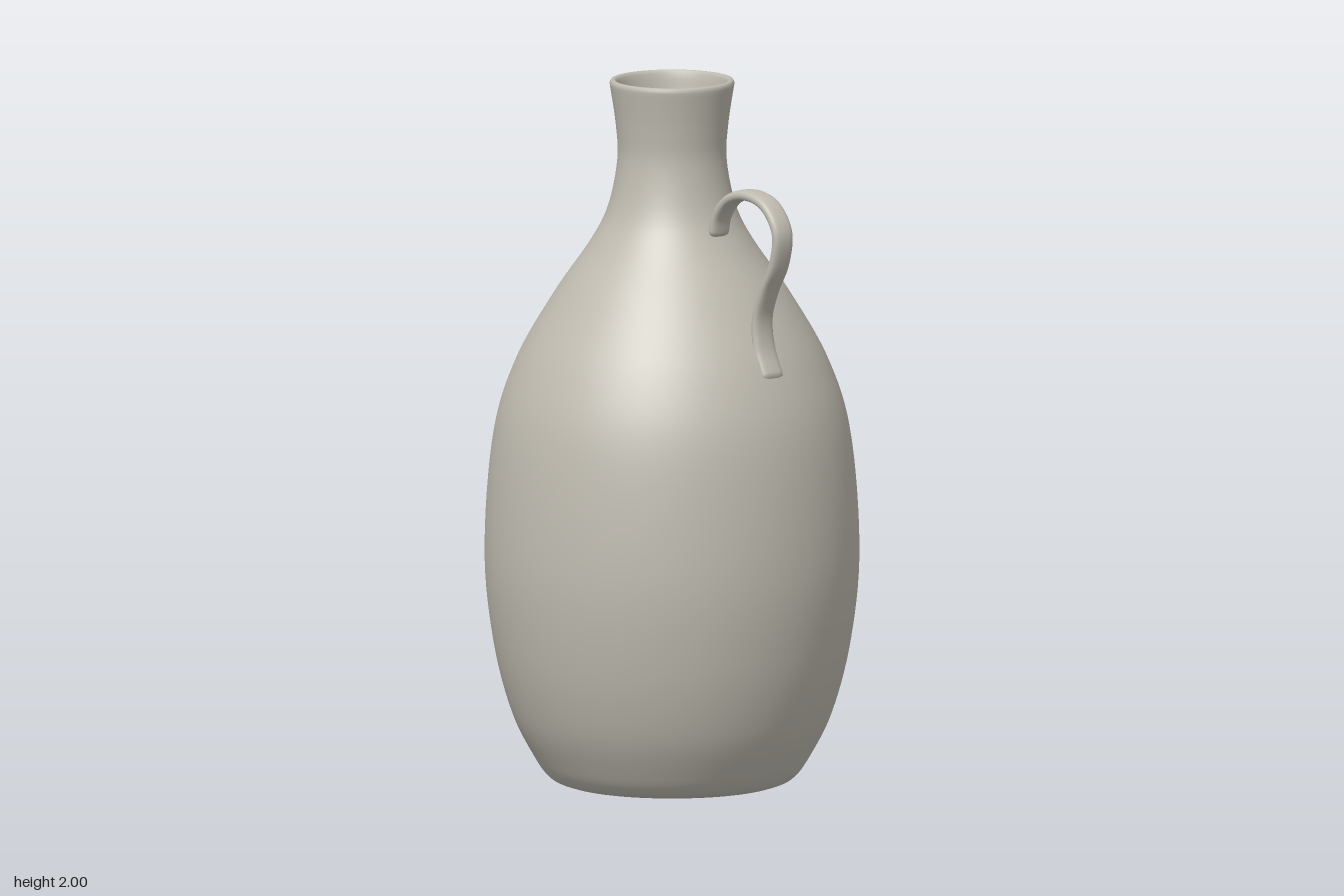
import * as THREE from 'three';

const clay = new THREE.MeshStandardMaterial({ color: 0xbfbbb0 });
clay.name = 'warm grey clay';

const v2 = (p) => new THREE.Vector2(p[0], p[1]);
const smooth = (pts, n) => new THREE.SplineCurve(pts.map(v2)).getPoints(n);

// Hollow bottle turned from one closed profile
function makeBody() {
  const outer = smooth([
    [0.31, 0.002], [0.345, 0.018], [0.385, 0.07], [0.45, 0.2], [0.502, 0.4], [0.527, 0.66],
    [0.503, 0.99], [0.44, 1.2], [0.333, 1.39], [0.23, 1.54], [0.18, 1.64], [0.154, 1.77],
    [0.158, 1.87], [0.175, 1.985]], 90);
  const lip = [[0.175, 1.993], [0.171, 1.999], [0.165, 2], [0.159, 1.998], [0.155, 1.99]].map(v2);
  const inner = smooth([
    [0.152, 1.975], [0.138, 1.87], [0.132, 1.77], [0.158, 1.64], [0.21, 1.53], [0.313, 1.38],
    [0.42, 1.19], [0.482, 0.99], [0.506, 0.66], [0.481, 0.4], [0.43, 0.21], [0.36, 0.08],
    [0.32, 0.05], [0.28, 0.04]], 70);
  // Foot ring with a slightly recessed underside
  const foot = [[0, 0.018], [0.284, 0.018], [0.288, 0.016], [0.292, 0.006], [0.298, 0.001], [0.304, 0]].map(v2);
  const profile = [...foot, ...outer, ...lip, ...inner, new THREE.Vector2(0, 0.04)];
  const mesh = new THREE.Mesh(new THREE.LatheGeometry(profile, 96), clay);
  mesh.name = 'bottleBody';
  return mesh;
}

// Flattened strap swept along a planar curve, with rounded ends
function makeHandle() {
  const path = new THREE.CatmullRomCurve3([
    [0.198, 1.575], [0.213, 1.635], [0.262, 1.69], [0.338, 1.711], [0.42, 1.69], [0.472, 1.62],
    [0.46, 1.53], [0.415, 1.445], [0.388, 1.365], [0.396, 1.28], [0.433, 1.195],
  ].map(([x, y]) => new THREE.Vector3(x, y, 0)));
  const rings = 90, sides = 20, pos = [], index = [];
  for (let i = 0; i <= rings; i++) {
    const t = i / rings;
    const p = path.getPointAt(t), d = path.getTangentAt(t);
    const e = Math.min(1, Math.min(t, 1 - t) / 0.018);
    const round = Math.sqrt(Math.max(0, 1 - (1 - e) ** 2));
    const halfWidth = (0.034 + 0.005 * THREE.MathUtils.smoothstep(t, 0.75, 1)) * (0.6 + 0.4 * round);
    const halfThick = 0.0155 * (0.3 + 0.7 * round);
    for (let j = 0; j < sides; j++) {
      const a = (j / sides) * Math.PI * 2, c = Math.cos(a), s = Math.sin(a);
      const n = Math.sign(c) * Math.abs(c) ** 0.75 * halfThick;
      const w = Math.sign(s) * Math.abs(s) ** 0.75 * halfWidth;
      pos.push(p.x - d.y * n, p.y + d.x * n, w);
    }
  }
  for (let i = 0; i < rings; i++) {
    for (let j = 0; j < sides; j++) {
      const k = (j + 1) % sides;
      const a = i * sides + j, b = i * sides + k, c = a + sides, d = b + sides;
      index.push(a, b, c, b, d, c);
    }
  }
  // End caps
  for (const [ring, t] of [[0, 0], [rings, 1]]) {
    const p = path.getPointAt(t), centre = pos.length / 3;
    pos.push(p.x, p.y, p.z);
    for (let j = 0; j < sides; j++) {
      const a = ring * sides + j, b = ring * sides + ((j + 1) % sides);
      if (t === 0) index.push(centre, b, a);
      else index.push(centre, a, b);
    }
  }
  const geo = new THREE.BufferGeometry();
  geo.setAttribute('position', new THREE.Float32BufferAttribute(pos, 3));
  geo.setIndex(index);
  geo.computeVertexNormals();
  const mesh = new THREE.Mesh(geo, clay);
  mesh.name = 'handle';
  return mesh;
}

export function createModel() {
  const group = new THREE.Group();
  group.name = 'handledBottle';
  group.add(makeBody(), makeHandle());
  return group;
}
